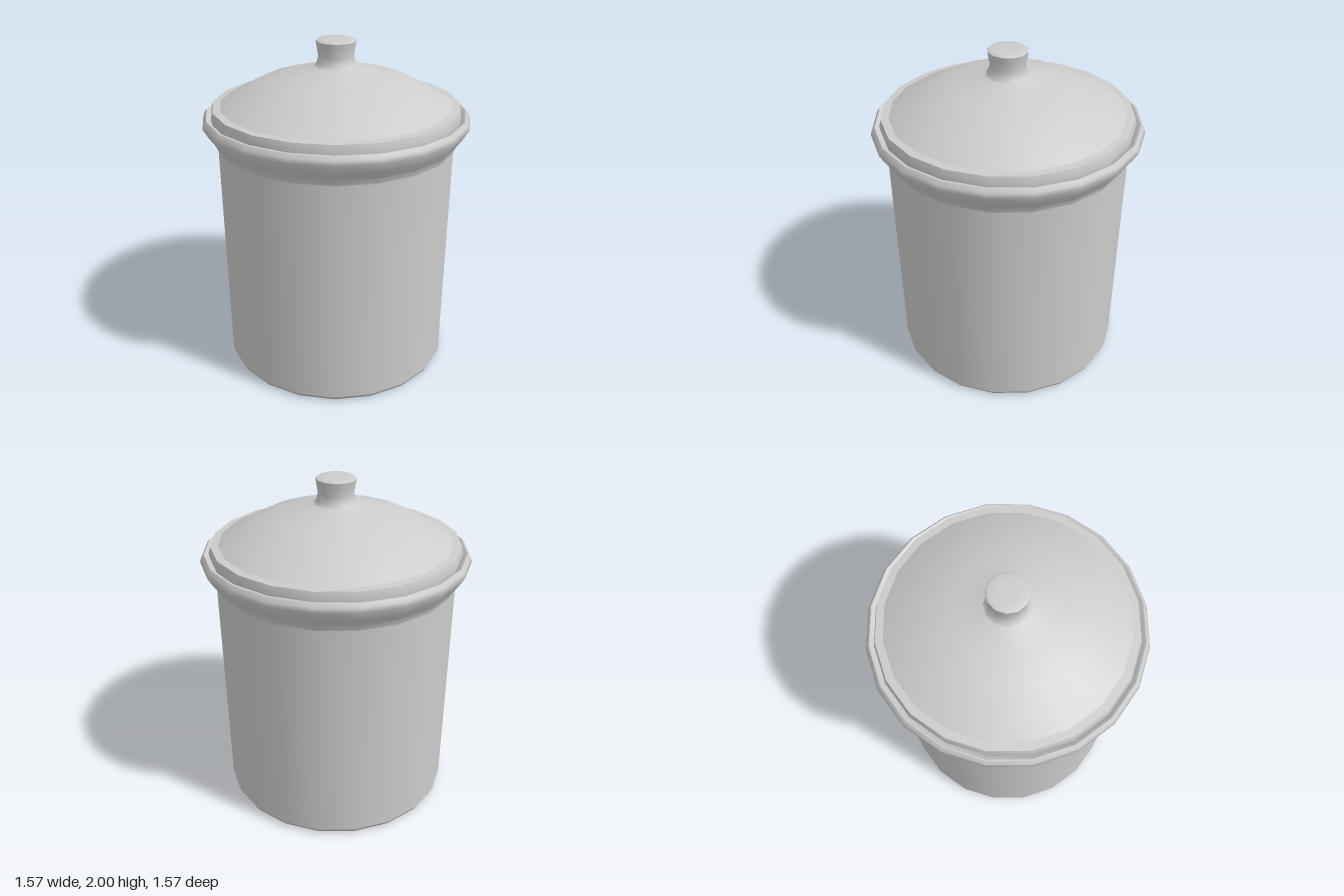
import * as THREE from 'three';

const SIDES = 20;

export function createModel() {
  const model = new THREE.Group();
  const ceramic = new THREE.MeshStandardMaterial({ color: 0xcccccc });
  ceramic.name = 'grey ceramic';

  // Each band is one smooth turned profile; separate bands meet at a crisp edge.
  function turned(parent, name, points, sides = SIDES) {
    const profile = points.map(([r, y]) => new THREE.Vector2(r, y));
    const mesh = new THREE.Mesh(new THREE.LatheGeometry(profile, sides), ceramic);
    mesh.name = name;
    parent.add(mesh);
  }

  // Pot: base, wall, flared rim and hollow inside
  const pot = new THREE.Group();
  pot.name = 'pot';
  turned(pot, 'base', [[0, 0.01], [0.5, 0.008], [0.66, 0]]);
  turned(pot, 'footEdge', [[0.66, 0], [0.685, 0.01], [0.695, 0.03]]);
  turned(pot, 'wall', [[0.695, 0.03], [0.705, 1.39], [0.705, 1.4], [0.72, 1.43]]);
  turned(pot, 'rimFlare', [[0.72, 1.43], [0.755, 1.48], [0.787, 1.535], [0.78, 1.56], [0.765, 1.58]]);
  turned(pot, 'rimTop', [[0.765, 1.58], [0.755, 1.583], [0.725, 1.55]]);
  turned(pot, 'inside', [[0.725, 1.55], [0.65, 1.53], [0.64, 0.06], [0, 0.05]]);
  model.add(pot);

  // Lid: seating lip, ledge, dome and underside
  const lid = new THREE.Group();
  lid.name = 'lid';
  turned(lid, 'underside', [[0, 1.77], [0.42, 1.7], [0.62, 1.6], [0.65, 1.555], [0.73, 1.555]]);
  turned(lid, 'lip', [[0.73, 1.555], [0.735, 1.585], [0.724, 1.625]]);
  turned(lid, 'ledge', [[0.724, 1.625], [0.68, 1.628]]);
  turned(lid, 'dome', [[0.68, 1.628], [0.6, 1.675], [0.44, 1.757], [0.3, 1.797], [0.17, 1.831], [0.12, 1.85]]);

  // Knob with a waisted neck
  turned(lid, 'knobNeck', [[0.165, 1.828], [0.13, 1.845], [0.112, 1.87], [0.103, 1.905], [0.112, 1.96], [0.116, 1.988]], 12);
  turned(lid, 'knobTop', [[0.116, 1.988], [0.105, 1.998], [0.06, 2], [0, 2]], 12);
  model.add(lid);

  return model;
}
